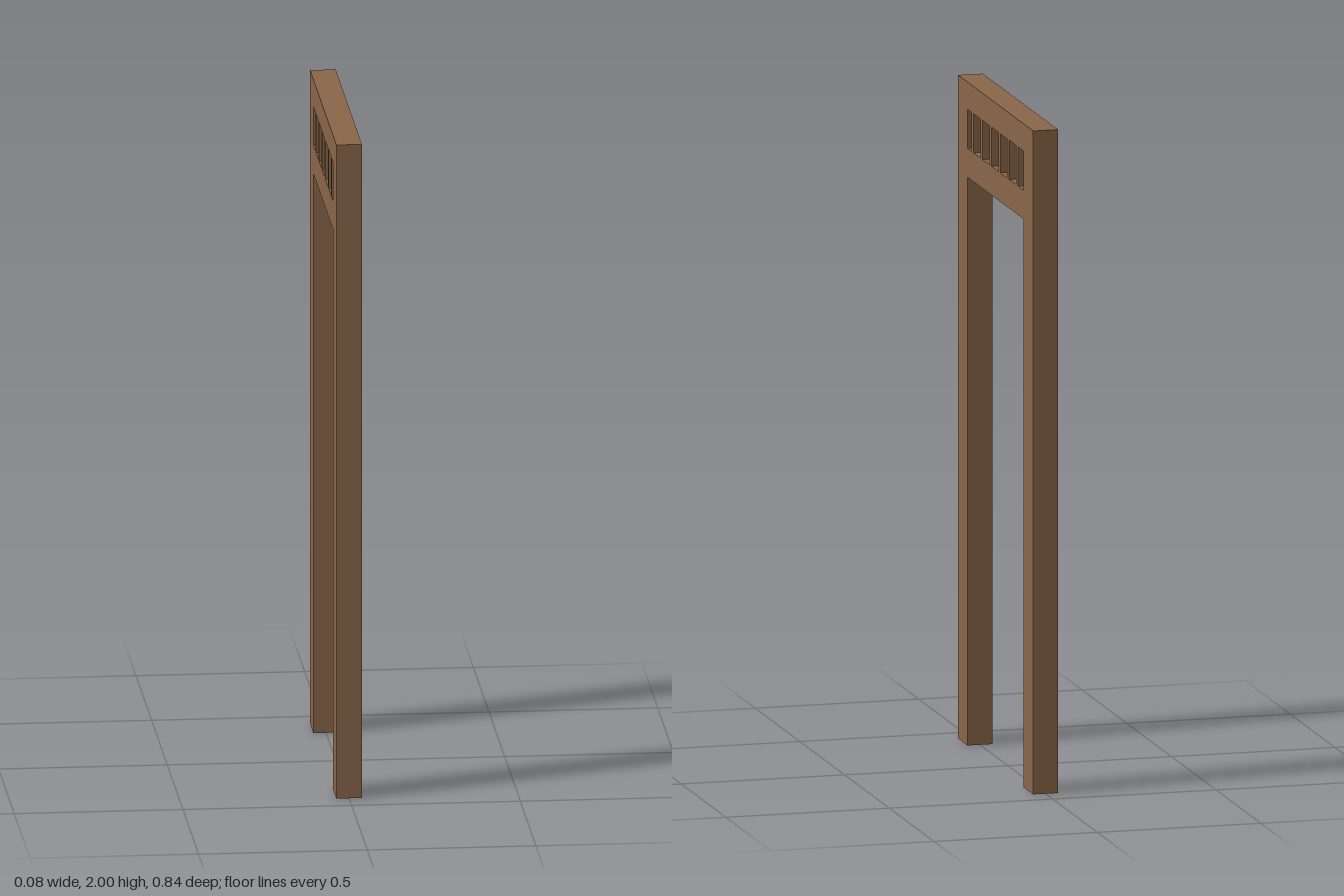
import * as THREE from 'three';

export function createModel() {
  const group = new THREE.Group();
  group.name = 'doorFrame';
  const wood = new THREE.MeshStandardMaterial({ color: 0x8a6749 });
  wood.name = 'brownWood';

  const depth = 0.076;
  const outer = 0.42;  // half width of the frame
  const inner = 0.314; // half width of the opening
  const height = 2;

  // Box spanning the given heights and z range, full frame thickness
  function beam(name, y0, y1, z0, z1) {
    const mesh = new THREE.Mesh(new THREE.BoxGeometry(depth, y1 - y0, z1 - z0), wood);
    mesh.position.set(0, (y0 + y1) / 2, (z0 + z1) / 2);
    mesh.name = name;
    group.add(mesh);
  }

  // Posts
  beam('frontPost', 0, height, inner, outer);
  beam('backPost', 0, height, -outer, -inner);

  // Rails above the doorway
  const railTop = 1.8, headBottom = 1.918;
  beam('lowerRail', 1.713, railTop, -inner, inner);
  beam('topRail', headBottom, height, -inner, inner);

  // Six slats between the rails, set slightly towards the front
  for (let i = 0; i < 6; i++) {
    const z = 0.257 - i * 0.0995;
    beam('slat' + (i + 1), railTop, headBottom, z - 0.011, z + 0.011);
  }
  return group;
}
